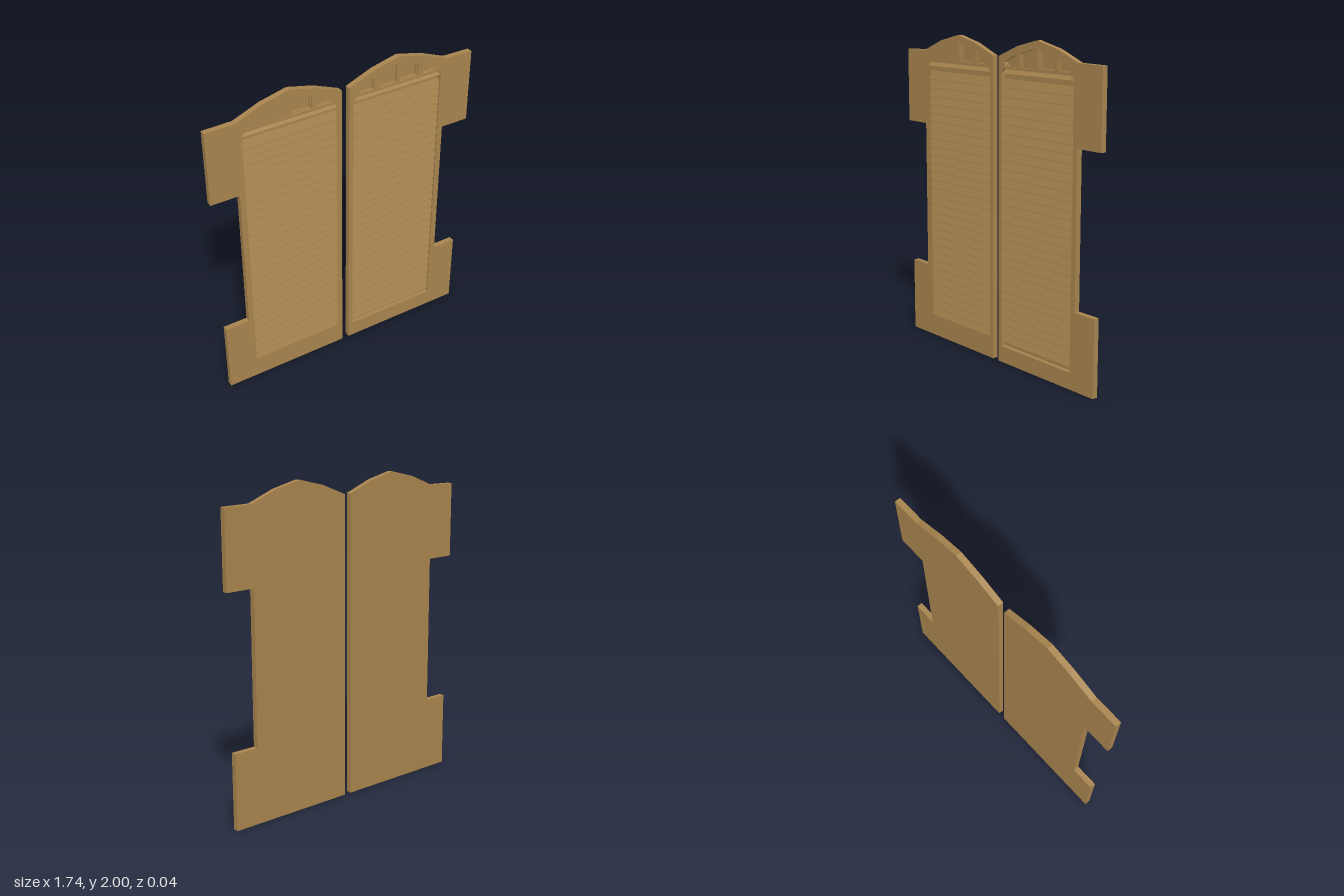
import * as THREE from 'three';

const HALF = 0.018;      // half the door thickness
const RECESS = -0.008;   // depth of the recessed panel surface
const MID = 0.355;       // centre line of one leaf
const X0 = 0.053, X1 = 0.655; // louvre opening

const wood = new THREE.MeshStandardMaterial({ color: 0xa8844e, flatShading: true });

// Outline of one leaf, with hinge-side ears at top and bottom
const OUTLINE = [
  [0.024, 0], [0.845, 0], [0.845, 0.476], [0.69, 0.476], [0.69, 1.422], [0.872, 1.422],
  [0.872, 1.89], [0.69, 1.893], [0.523, 1.96], [MID, 2], [0.19, 1.96], [0.024, 1.893],
];
// Louvre opening with a chamfered head
const OPENING = [
  [X0, 0.105], [X1, 0.105], [X1, 1.795], [X1 - 0.018, 1.82], [X0 + 0.018, 1.82], [X0, 1.795],
];
// Half of the fan of panes, relative to the centre line
const HALF_PANES = [
  [[0.262, 1.837], [0.278, 1.863], [0.172, 1.911], [0.167, 1.837]],
  [[0.135, 1.837], [0.14, 1.916], [0.013, 1.953], [0.013, 1.837]],
];
const PANES = [-1, 1].flatMap(m => HALF_PANES.map(p => p.map(([x, y]) => [MID + m * x, y])));

const toPoints = (pts, s) => pts.map(([x, y]) => new THREE.Vector2(x * s, y));

// Flat plate with holes between two depths
function plate(name, outline, holes, zBack, zFront, s) {
  const shape = new THREE.Shape(toPoints(outline, s));
  shape.holes = holes.map(h => new THREE.Path(toPoints(h, s)));
  const geo = new THREE.ExtrudeGeometry(shape, { depth: zFront - zBack, bevelEnabled: false });
  geo.translate(0, 0, zBack);
  const mesh = new THREE.Mesh(geo, wood);
  mesh.name = name;
  return mesh;
}

// Horizontal bar across the opening, from a [z, y] cross-section
function bar(name, section, y, s) {
  const length = X1 - X0;
  const shape = new THREE.Shape(section.map(([z, h]) => new THREE.Vector2(z, h)));
  const geo = new THREE.ExtrudeGeometry(shape, { depth: length, bevelEnabled: false });
  geo.translate(0, 0, -length / 2);
  geo.rotateY(-Math.PI / 2);
  const mesh = new THREE.Mesh(geo, wood);
  mesh.position.set(s * (X0 + X1) / 2, y, 0);
  mesh.name = name;
  return mesh;
}

// Shrink a pane outline towards its middle for the inner moulding
function inset(pts, k) {
  const cx = pts.reduce((a, p) => a + p[0], 0) / pts.length;
  const cy = pts.reduce((a, p) => a + p[1], 0) / pts.length;
  return pts.map(([x, y]) => [cx + (x - cx) * k, cy + (y - cy) * k]);
}

function leaf(name, s) {
  const door = new THREE.Group();
  door.name = name;
  door.add(plate('backPanel', OUTLINE, [], -HALF, RECESS, s));
  door.add(plate('frame', OUTLINE, [OPENING, ...PANES], RECESS, HALF, s));

  // Stepped moulding inside each pane
  for (const pane of PANES) {
    door.add(plate('paneMoulding', pane, [inset(pane, 0.88)], RECESS, 0.006, s));
  }

  // Sloping louvre slats, lower lip forward
  const pitch = 0.0543;
  const slats = new THREE.Group();
  slats.name = 'louvres';
  const section = [[RECESS, 0], [0.013, 0], [0.013, 0.004], [-0.003, pitch], [RECESS, pitch]];
  for (let i = 0; i < 30; i++) slats.add(bar('slat', section, 0.132 + i * pitch, s));
  door.add(slats);

  // Sloping head rail above the louvres
  door.add(bar('headRail', [[RECESS, 0], [0.015, 0], [0, 0.025], [RECESS, 0.025]], 1.795, s));
  return door;
}

export function createModel() {
  const model = new THREE.Group();
  model.name = 'louvredDoors';
  model.add(leaf('leftDoor', 1), leaf('rightDoor', -1));
  return model;
}
